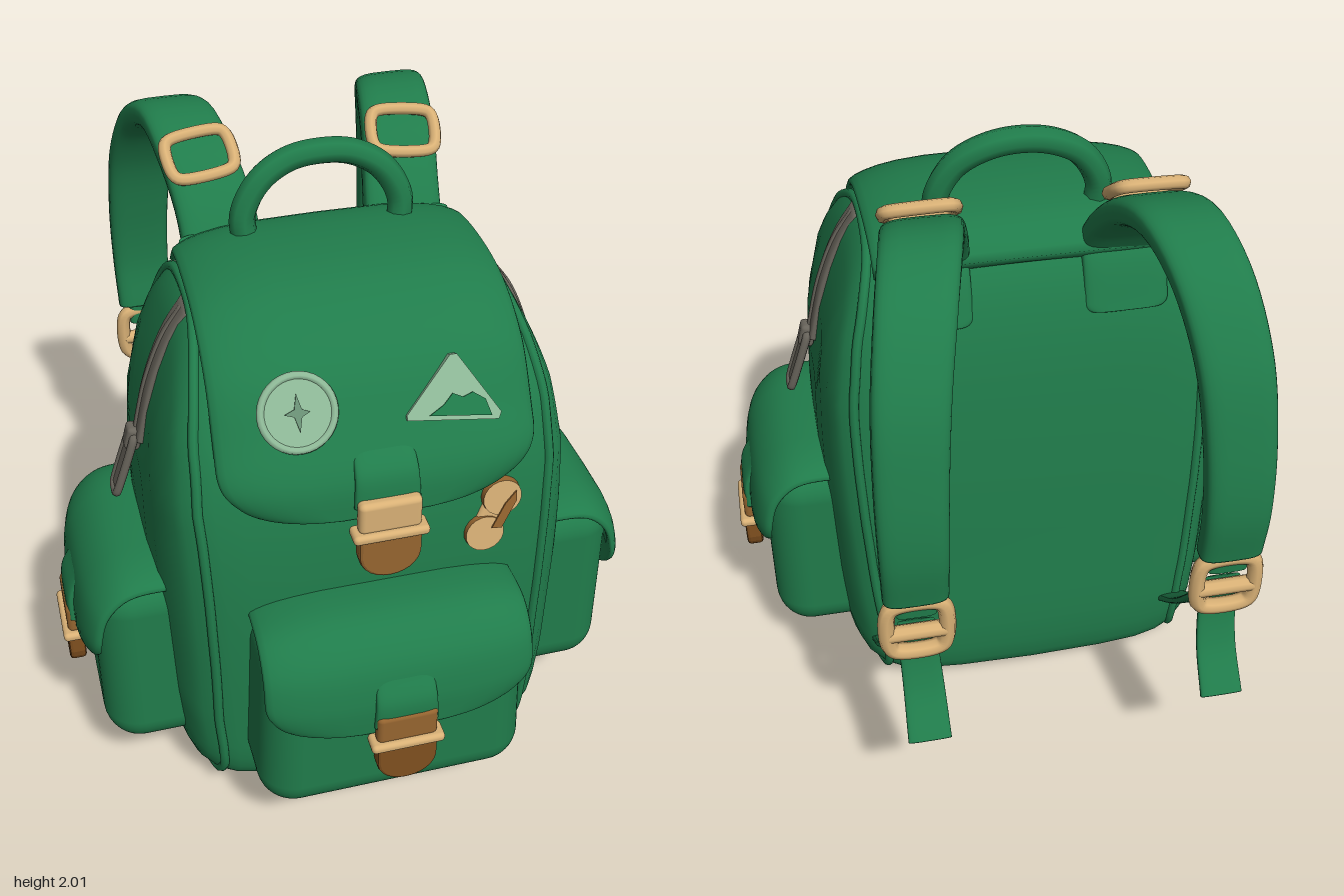
import * as THREE from 'three';
import { RoundedBoxGeometry } from 'three/addons/geometries/RoundedBoxGeometry.js';

const V = (x, y, z) => new THREE.Vector3(x, y, z);
const mat = (name, color) => new THREE.MeshStandardMaterial({ name, color });
const green = mat('green canvas', 0x207c4b);
const brown = mat('brown leather', 0x80501f);
const bronze = mat('bronze metal', 0x966530);
const tan = mat('tan metal', 0xd9b176);
const grey = mat('grey zip', 0x68645b);
const pale = mat('pale green patch', 0x8fba98);
const dull = mat('dull green stitching', 0x6a9176);

function add(parent, name, geo, material, pos = [0, 0, 0], rot = [0, 0, 0]) {
  const m = new THREE.Mesh(geo, material);
  m.name = name;
  m.position.set(...pos);
  m.rotation.set(...rot);
  parent.add(m);
  return m;
}

function group(parent, name, pos = [0, 0, 0], rot = [0, 0, 0]) {
  const g = new THREE.Group();
  g.name = name;
  g.position.set(...pos);
  g.rotation.set(...rot);
  parent.add(g);
  return g;
}

// Skin a row of closed rings, cap both ends and turn the faces outward
function loft(rings) {
  const n = rings[0].length, verts = rings.flat(), idx = [];
  for (let i = 0; i < rings.length - 1; i++) {
    for (let j = 0; j < n; j++) {
      const a = i * n + j, b = i * n + (j + 1) % n;
      idx.push(a, b, a + n, b, b + n, a + n);
    }
  }
  [0, rings.length - 1].forEach((r, e) => {
    const c = rings[r].reduce((s, p) => s.add(p), V(0, 0, 0)).divideScalar(n);
    verts.push(c);
    for (let j = 0; j < n; j++) {
      const a = r * n + j, b = r * n + (j + 1) % n;
      idx.push(verts.length - 1, ...(e ? [a, b] : [b, a]));
    }
  });
  let volume = 0;
  for (let i = 0; i < idx.length; i += 3) {
    volume += verts[idx[i]].dot(V(0, 0, 0).crossVectors(verts[idx[i + 1]], verts[idx[i + 2]]));
  }
  if (volume < 0) idx.reverse();
  const g = new THREE.BufferGeometry().setFromPoints(verts);
  g.setIndex(idx);
  g.computeVertexNormals();
  return g;
}

// Padded band along a path, its width along x; corner rounds the far end, droop lowers the edges
function band(points, w0, w1, thick, { corner = 0, droop = 0, steps = 36 } = {}) {
  const curve = new THREE.CatmullRomCurve3(points.map(p => V(...p)));
  const length = curve.getLength(), rings = [];
  const pow = (v, e) => Math.sign(v) * Math.abs(v) ** e;
  for (let i = 0; i <= steps; i++) {
    const t = 1 - (1 - i / steps) ** 1.5;
    const p = curve.getPointAt(t);
    const n = curve.getTangentAt(t).cross(V(1, 0, 0)).normalize();
    let w = w0 + (w1 - w0) * t;
    const d = (1 - t) * length;
    if (d < corner) w += Math.sqrt(corner ** 2 - (corner - d) ** 2) - corner;
    const ring = [];
    for (let j = 0; j < 28; j++) {
      const a = j / 28 * Math.PI * 2, x = pow(Math.cos(a), 0.5);
      const h = pow(Math.sin(a), 0.6) * thick / 2 - droop * x ** 4;
      ring.push(p.clone().addScaledVector(n, h).add(V(x * w, 0, 0)));
    }
    rings.push(ring);
  }
  return loft(rings);
}

function tube(points, r, closed = false, seg = 48) {
  return new THREE.TubeGeometry(new THREE.CatmullRomCurve3(points, closed), seg, r, 8, closed);
}

// Rounded rectangular wire frame
function frame(w, h, r) {
  const pts = [];
  const k = 0.24 * Math.min(w, h), a = w / 2, b = h / 2;
  [[1, 1], [-1, 1], [-1, -1], [1, -1]].forEach(([sx, sy], i) => {
    const pair = [V(sx * a, sy * (b - k), 0), V(sx * (a - k * 0.3), sy * (b - k * 0.3), 0), V(sx * (a - k), sy * b, 0)];
    pts.push(...(i % 2 ? pair.reverse() : pair));
  });
  return tube(pts, r, true, 60);
}

function plate(points, depth) {
  const s = new THREE.Shape(points.map(p => new THREE.Vector2(...p)));
  return new THREE.ExtrudeGeometry(s, { depth, bevelEnabled: false });
}

// Body half width by height
const widths = [[0, 0.52], [0.04, 0.575], [0.1, 0.605], [0.2, 0.63], [0.4, 0.65], [0.8, 0.66], [1, 0.655],
  [1.2, 0.64], [1.4, 0.59], [1.55, 0.53], [1.65, 0.485], [1.75, 0.45]];
function halfWidth(y) {
  const i = Math.max(1, widths.findIndex(w => w[0] >= y));
  const [a, b] = [widths[i - 1], widths[i]];
  return a[1] + (b[1] - a[1]) * Math.max(0, (y - a[0]) / (b[0] - a[0]));
}

// Side outline of the body as z, y; rings narrow toward front and back to round the upright corners
const outline = new THREE.CatmullRomCurve3([[-0.28, 0.01], [0.15, 0.005], [0.56, 0.015], [0.64, 0.1], [0.66, 0.35],
  [0.66, 0.9], [0.625, 1.2], [0.56, 1.41], [0.45, 1.575], [0.29, 1.68], [0.1, 1.71], [-0.1, 1.68], [-0.19, 1.59],
  [-0.26, 1.4], [-0.31, 1.05], [-0.34, 0.6], [-0.345, 0.1]].map(([z, y]) => V(0, y, z)), true).getPoints(72).slice(0, 72);
const bodyRing = (s, f) => outline.map(p => {
  const y = 0.85 + (p.y - 0.85) * f, z = 0.15 + (p.z - 0.15) * f;
  return V(s * halfWidth(y) * (1 - 0.19 * ((z - 0.15) / 0.5) ** 4), y, z);
});

function buckle(parent, y, z, topMaterial, tongueMaterial) {
  const g = group(parent, 'buckle', [0, y, z]);
  add(g, 'buckleTop', new RoundedBoxGeometry(0.19, 0.11, 0.045, 3, 0.018), topMaterial, [0, 0.07, 0]);
  add(g, 'buckleBar', new RoundedBoxGeometry(0.23, 0.032, 0.07, 3, 0.014), tan, [0, 0.01, 0.005]);
  const s = new THREE.Shape().moveTo(-0.085, 0).lineTo(-0.085, -0.07)
    .bezierCurveTo(-0.075, -0.165, 0.075, -0.165, 0.085, -0.07).lineTo(0.085, 0);
  add(g, 'buckleTongue', new THREE.ExtrudeGeometry(s, { depth: 0.03, bevelSize: 0.01, bevelThickness: 0.012, bevelSegments: 2 }),
    tongueMaterial, [0, 0, -0.015]);
}

// Pocket with flap, facing +z, front face near z
function pocket(parent, w, z, back) {
  const g = group(parent, 'pocket');
  const body = new RoundedBoxGeometry(w, 0.69, z - back, 6, 0.12);
  const p = body.attributes.position;
  for (let i = 0; i < p.count; i++) p.setX(i, p.getX(i) * (1 - 0.1 * p.getY(i)));
  add(g, 'pocketBody', body, green, [0, 0.515, (z + back) / 2]);
  add(g, 'pocketFlap', band([[0, 0.84, back], [0, 0.87, z - 0.22], [0, 0.855, z - 0.09], [0, 0.78, z - 0.01],
    [0, 0.66, z + 0.025], [0, 0.54, z + 0.03]], w / 2 - 0.01, w / 2, 0.045, { corner: 0.15, droop: 0.03 }), green);
  add(g, 'flapTab', band([[0, 0.73, z + 0.015], [0, 0.66, z + 0.05], [0, 0.57, z + 0.055]], 0.09, 0.1, 0.035), green);
  buckle(g, 0.495, z + 0.055, bronze, brown);
}

export function createModel() {
  const pack = new THREE.Group();
  pack.name = 'backpack';

  // Main bag with piping round both side panels
  const half = [[1, 0.02], [1, 0.3], [1, 0.55], [1, 0.72], [1, 0.83], [0.99, 0.89], [0.95, 0.94], [0.88, 0.967], [0.75, 0.985], [0.5, 0.995]];
  const stations = [...half, [0, 1], ...half.map(([s, f]) => [-s, f]).reverse()];
  add(pack, 'bag', loft(stations.map(([s, f]) => bodyRing(s, f))), green);
  for (const s of [-0.945, 0.945]) add(pack, 'piping', tube(bodyRing(s, 0.938), 0.016, true, 120), green);

  // Lid
  add(pack, 'lid', band([[0, 1.63, -0.2], [0, 1.7, -0.12], [0, 1.727, 0.1], [0, 1.695, 0.31], [0, 1.585, 0.485],
    [0, 1.42, 0.59], [0, 1.29, 0.655], [0, 1.175, 0.67]], 0.455, 0.48, 0.05, { corner: 0.2, droop: 0.04, steps: 60 }), green);
  add(pack, 'lidTab', band([[0, 1.38, 0.615], [0, 1.32, 0.675], [0, 1.22, 0.695]], 0.09, 0.1, 0.035), green);
  buckle(pack, 1.13, 0.715, tan, bronze);

  // Front pocket
  pocket(pack, 0.84, 0.89, 0.5);

  // Side pockets and zips
  for (const s of [-1, 1]) {
    const side = group(pack, s > 0 ? 'leftSide' : 'rightSide', [0, 0, 0.165], [0, s * Math.PI / 2, 0]);
    pocket(side, 0.66, 0.855, 0.5);
    add(side, 'zip', band([[0, 1.645, 0.462], [0, 1.55, 0.525], [0, 1.4, 0.587], [0, 1.2, 0.637]], 0.048, 0.048, 0.03), grey);
    add(side, 'zipTeeth', band([[0, 1.635, 0.474], [0, 1.55, 0.534], [0, 1.4, 0.596], [0, 1.2, 0.646]], 0.012, 0.012, 0.026), grey);
    add(side, 'zipSlider', new RoundedBoxGeometry(0.06, 0.08, 0.05, 2, 0.015), grey, [0, 1.2, 0.655], [-0.25, 0, 0]);
    const pull = group(side, 'zipPull', [0, 1.11, 0.69], [-0.33, 0, 0]);
    add(pull, 'pullRim', frame(0.065, 0.22, 0.014), grey);
    add(pull, 'pullPlate', new RoundedBoxGeometry(0.07, 0.2, 0.014, 2, 0.006), grey);
  }

  // Carry handle
  add(pack, 'handle', tube([V(-0.24, 1.7, -0.04), V(-0.245, 1.79, -0.05), V(-0.19, 1.89, -0.06), V(-0.1, 1.945, -0.07), V(0, 1.96, -0.07),
    V(0.1, 1.945, -0.07), V(0.19, 1.89, -0.06), V(0.245, 1.79, -0.05), V(0.24, 1.7, -0.04)], 0.041), green);

  // Shoulder straps
  for (const s of [-1, 1]) {
    const g = group(pack, s > 0 ? 'leftStrap' : 'rightStrap');
    const path = pts => pts.map(([x, y, z]) => [s * x, y, z]);
    add(g, 'strapAnchor', band(path([[0.3, 1.68, -0.12], [0.3, 1.6, -0.18], [0.3, 1.44, -0.235]]), 0.13, 0.13, 0.05, { corner: 0.03 }), green);
    add(g, 'strapPad', band(path([[0.29, 1.62, -0.14], [0.3, 1.74, -0.22], [0.325, 1.85, -0.34], [0.355, 1.91, -0.52], [0.395, 1.84, -0.69],
      [0.435, 1.65, -0.82], [0.455, 1.4, -0.885], [0.46, 1.18, -0.905], [0.46, 1.01, -0.885]]), 0.125, 0.095, 0.09, { steps: 48 }), green);
    add(g, 'strapLoop', band(path([[0.46, 1.04, -0.885], [0.46, 0.93, -0.88]]), 0.06, 0.06, 0.04), green);
    add(g, 'lowerStrap', band(path([[0.46, 0.87, -0.89], [0.475, 0.68, -0.73], [0.495, 0.4, -0.49], [0.5, 0.18, -0.25]]), 0.055, 0.055, 0.025), green);
    add(g, 'strapTail', band(path([[0.46, 0.87, -0.86], [0.455, 0.76, -0.85], [0.45, 0.62, -0.89], [0.45, 0.49, -0.98]]), 0.055, 0.065, 0.028), green);
    add(g, 'topRing', frame(0.2, 0.14, 0.02), tan, [s * 0.325, 1.885, -0.285], [-0.9, 0, -s * 0.12]);
    const b = group(g, 'strapBuckle', [s * 0.46, 0.88, -0.885]);
    add(b, 'buckleFrame', frame(0.17, 0.19, 0.025), tan);
    add(b, 'buckleBar', new THREE.CylinderGeometry(0.025, 0.025, 0.17, 10), tan, [0, -0.02, 0], [0, 0, Math.PI / 2]);
  }

  // Round patch with a needle
  const round = group(pack, 'roundPatch', [-0.235, 1.5, 0.572], [-0.49, 0, 0]);
  add(round, 'patchDisc', new THREE.CylinderGeometry(0.105, 0.105, 0.03, 32), pale, [0, 0, 0], [Math.PI / 2, 0, 0]);
  add(round, 'patchRim', new THREE.TorusGeometry(0.106, 0.012, 8, 36), pale, [0, 0, 0.01]);
  add(round, 'patchNeedle', plate([[-0.04, 0], [-0.01, 0.012], [0, 0.055], [0.012, 0.01], [0.035, 0], [0.01, -0.012], [0, -0.055], [-0.012, -0.01]], 0.004),
    dull, [0, 0, 0.015]);

  // Triangular patch with a hill
  const tri = group(pack, 'trianglePatch', [0.215, 1.49, 0.577], [-0.49, 0, 0]);
  add(tri, 'patchTriangle', plate([[-0.14, -0.06], [0.13, -0.095], [0.14, -0.075], [0.025, 0.11], [0.005, 0.11], [-0.14, -0.045]], 0.03), pale, [0, 0, -0.015]);
  add(tri, 'patchHill', plate([[-0.075, -0.055], [0.11, -0.08], [0.095, -0.03], [0.06, -0.005], [0.03, -0.015], [0, 0], [-0.03, -0.03]], 0.004),
    green, [0, 0, 0.015]);

  // Leather charm on the front, bronze round the edges
  const charm = group(pack, 'charm', [0.345, 1.065, 0.635], [-0.12, 0, -0.42]);
  const edged = [bronze, tan, bronze];
  add(charm, 'charmStem', new RoundedBoxGeometry(0.09, 0.17, 0.04, 3, 0.018), tan);
  add(charm, 'charmHead', new THREE.CylinderGeometry(0.06, 0.064, 0.04, 20), edged, [0, 0.065, 0.005], [Math.PI / 2, 0, 0]);
  add(charm, 'charmFoot', new THREE.CylinderGeometry(0.06, 0.064, 0.04, 20), edged, [0, -0.065, 0.005], [Math.PI / 2, 0, 0]);
  add(charm, 'charmInset', plate([[0.01, -0.04], [0.04, -0.03], [0.045, 0.07], [0.03, 0.1], [0.015, 0.05]], 0.006), bronze, [0, 0, 0.024]);
  return pack;
}
